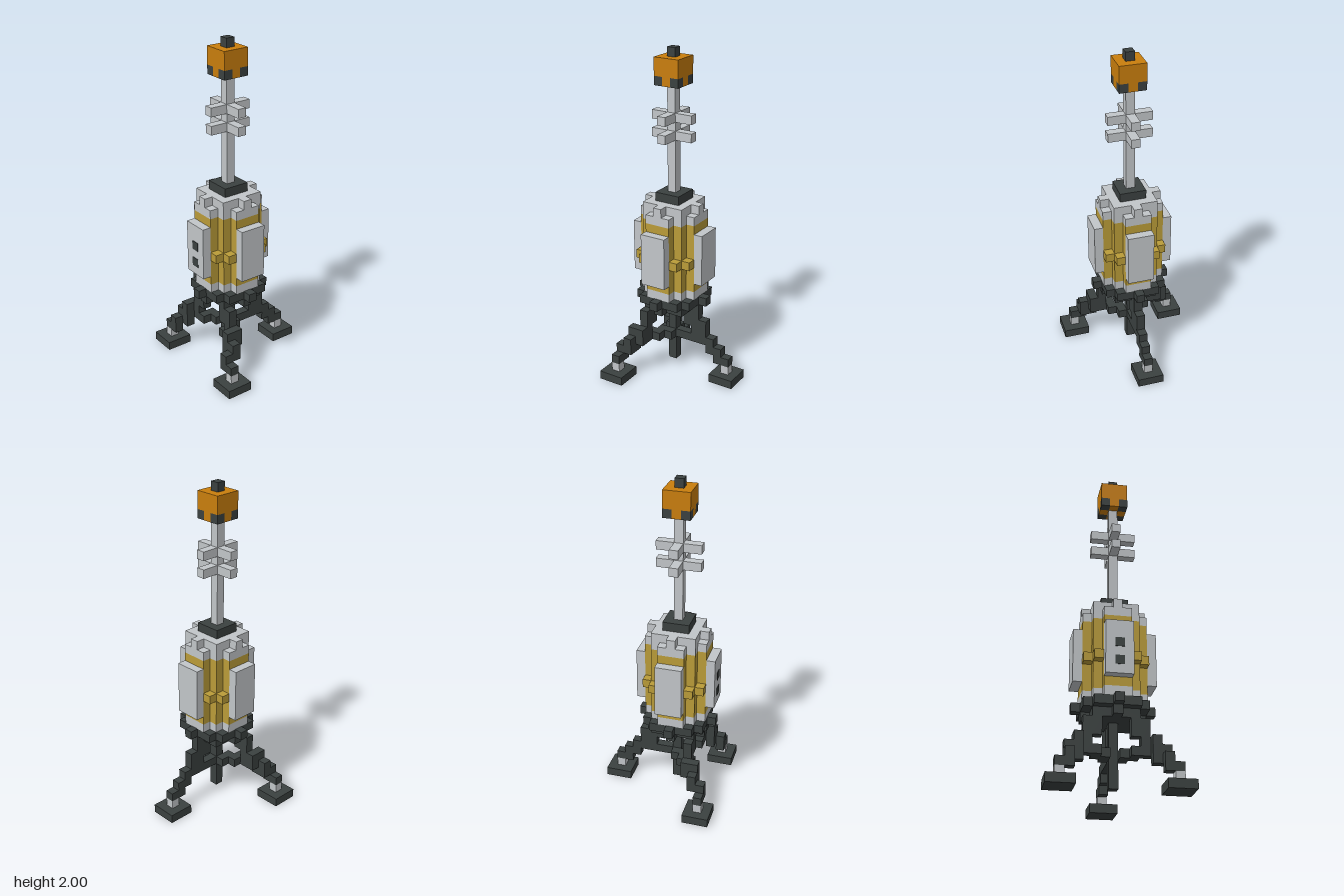
import * as THREE from 'three';

const U = 2 / 38; // one block; the model is 38 blocks tall

const mat = (name, color) => {
  const m = new THREE.MeshStandardMaterial({ color });
  m.name = name;
  return m;
};

export function createModel() {
  const light = mat('light grey', 0xc2c6c9);
  const dark = mat('dark grey', 0x3b4140);
  const orange = mat('orange', 0xc97e0d);
  const gold = mat('gold', 0xba9c39);

  // Everything is laid out in blocks around the mast axis
  const body = new THREE.Group();
  body.name = 'beacon';
  body.scale.setScalar(U);
  body.position.z = 1.5 * U;

  const group = (name, parent = body) => {
    const g = new THREE.Group();
    g.name = name;
    parent.add(g);
    return g;
  };

  // Box covering whole blocks x0..x1, y0..y1, z0..z1 (inclusive indices)
  const block = (parent, name, m, [x0, x1], [y0, y1], [z0, z1]) => {
    const geo = new THREE.BoxGeometry(x1 - x0 + 1, y1 - y0 + 1, z1 - z0 + 1);
    const mesh = new THREE.Mesh(geo, m);
    mesh.name = name;
    mesh.position.set((x0 + x1) / 2, (y0 + y1 + 1) / 2, (z0 + z1) / 2);
    parent.add(mesh);
    return mesh;
  };

  // Stepped round slab from layer y0 to y1 with squared radius r2
  const slab = (name, m, r2, y0, y1) => {
    const R = Math.floor(Math.sqrt(r2));
    const right = [];
    for (let d = -R; d <= R; d++) {
      const w = Math.floor(Math.sqrt(r2 - d * d)) + 0.5;
      for (const y of [d - 0.5, d + 0.5]) {
        const last = right[right.length - 2];
        if (last && last.x === w && right[right.length - 1].x === w) right.pop();
        right.push(new THREE.Vector2(w, y));
      }
    }
    const left = right.map((p) => new THREE.Vector2(-p.x, p.y)).reverse();
    const shape = new THREE.Shape([...right, ...left]);
    const geo = new THREE.ExtrudeGeometry(shape, { depth: y1 - y0 + 1, bevelEnabled: false });
    geo.rotateX(-Math.PI / 2);
    const mesh = new THREE.Mesh(geo, m);
    mesh.name = name;
    mesh.position.y = y0;
    body.add(mesh);
  };

  // Round hull
  slab('lowerPlate', dark, 9, 8, 8);
  slab('basePlate', dark, 16, 9, 9);
  slab('hullBottom', light, 10, 10, 10);
  slab('hullBand', gold, 10, 11, 18);
  slab('hullTop', light, 10, 19, 19);
  slab('hullCrown', light, 9, 20, 20);

  // Four side panels
  const panels = group('panels');
  for (const s of [-1, 1]) {
    block(panels, 'sidePanel', light, [4 * s, 4 * s], [12, 17], [-1, 1]);
    block(panels, s > 0 ? 'frontPanel' : 'backPanel', light, [-1, 1], [12, 17], [4 * s, 4 * s]);
  }
  // Painted squares on the front panel
  for (const y of [13, 15]) {
    const dot = new THREE.Mesh(new THREE.BoxGeometry(1, 1, 0.06), dark);
    dot.name = 'panelPort';
    dot.position.set(0, y + 0.5, 4.52);
    panels.add(dot);
  }

  // Paired knobs at each hull corner
  const knobs = group('knobs');
  for (const sx of [-1, 1]) for (const sz of [-1, 1]) {
    for (const [x, z] of [[2, 3], [3, 2]]) {
      block(knobs, 'knob', gold, [x * sx, x * sx], [14, 14], [z * sz, z * sz]);
    }
  }

  // Mast with two crossbars
  const mast = group('mast');
  block(mast, 'collar', dark, [-1, 1], [21, 21], [-1, 1]);
  block(mast, 'pole', light, [0, 0], [22, 33], [0, 0]);
  for (const y of [28, 30]) for (const s of [-1, 1]) {
    const r = s > 0 ? [1, 2] : [-2, -1];
    block(mast, 'crossbarX', light, r, [y, y], [0, 0]);
    block(mast, 'crossbarZ', light, [0, 0], [y, y], r);
  }

  // Lamp head with dark lower corners and a tip
  const lamp = group('lamp');
  block(lamp, 'lampTop', orange, [-1, 1], [35, 36], [-1, 1]);
  block(lamp, 'lampBottom', orange, [-1, 1], [34, 34], [0, 0]);
  for (const s of [-1, 1]) {
    block(lamp, 'lampBottomEdge', orange, [0, 0], [34, 34], [s, s]);
    for (const t of [-1, 1]) block(lamp, 'lampCorner', dark, [s, s], [34, 34], [t, t]);
  }
  block(lamp, 'lampTip', dark, [0, 0], [37, 37], [0, 0]);

  // Central post below the hull
  block(body, 'centrePost', dark, [0, 0], [1, 7], [0, 0]);

  // Back leg: [layer, nearest z, farthest z], with its strut on layer 4
  const backLeg = group('backLeg');
  for (const [y, a, b] of [[7, 2, 3], [6, 2, 4], [5, 3, 4], [4, 1, 5], [3, 5, 6], [2, 6, 7]]) {
    block(backLeg, 'legStep', dark, [0, 0], [y, y], [-b, -a]);
  }
  block(backLeg, 'ankle', light, [0, 0], [1, 1], [-7, -7]);
  block(backLeg, 'foot', dark, [-1, 1], [0, 0], [-8, -6]);

  // Front legs, mirrored: [x, z, lowest layer, highest layer]
  const steps = [
    [2, 2, 6, 7], [3, 2, 5, 7], [4, 2, 4, 5], [4, 3, 3, 5],
    [5, 3, 3, 4], [5, 4, 2, 3], [6, 4, 2, 2],
  ];
  const strut = [[1, 0], [1, 1], [2, 1], [2, 2], [3, 2]];
  for (const s of [-1, 1]) {
    const leg = group(s > 0 ? 'frontLeftLeg' : 'frontRightLeg');
    for (const [x, z, a, b] of steps) block(leg, 'legStep', dark, [x * s, x * s], [a, b], [z, z]);
    for (const [x, z] of strut) block(leg, 'strut', dark, [x * s, x * s], [4, 4], [z, z]);
    block(leg, 'ankle', light, [6 * s, 6 * s], [1, 1], [4, 4]);
    block(leg, 'foot', dark, [6 * s - 1, 6 * s + 1], [0, 0], [3, 5]);
  }

  const root = new THREE.Group();
  root.name = 'model';
  root.add(body);
  return root;
}
